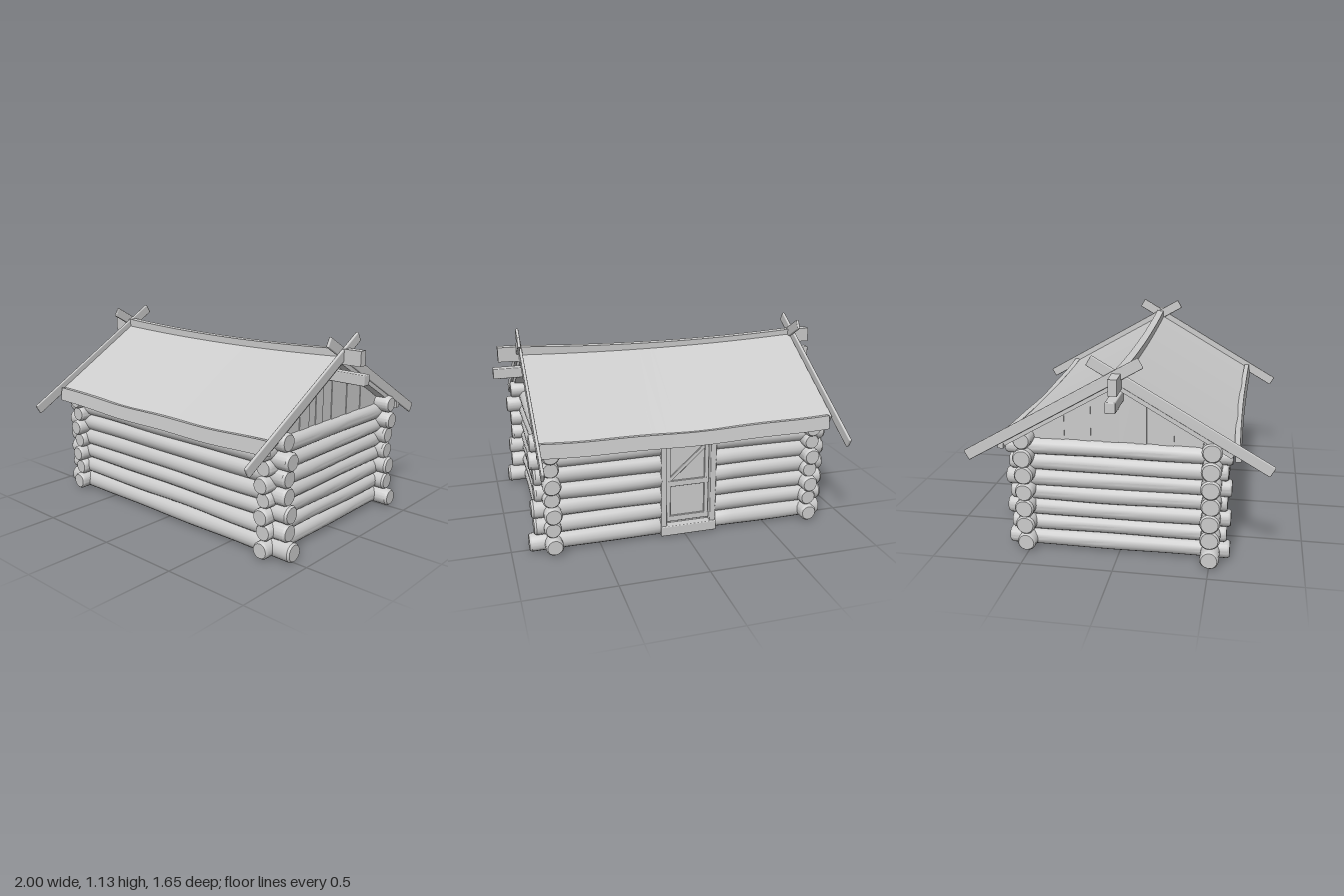
import * as THREE from 'three';
import { toCreasedNormals } from 'three/addons/utils/BufferGeometryUtils.js';
import { RoundedBoxGeometry } from 'three/addons/geometries/RoundedBoxGeometry.js';

const material = new THREE.MeshStandardMaterial({ color: 0xcccccc });
const PITCH = Math.PI / 6;
const RIDGE_Y = 1.027;
const ROOF_X = -0.015;

let seed = 7;
const random = () => {
  seed = (seed * 16807) % 2147483647;
  return seed / 2147483647;
};

function add(parent, name, geometry) {
  const mesh = new THREE.Mesh(geometry, material);
  mesh.name = name;
  parent.add(mesh);
  return mesh;
}

// Block with softened edges
function block(parent, name, w, h, d, x, y, z, bevel = 0.006) {
  const mesh = add(parent, name, new RoundedBoxGeometry(w, h, d, 1, bevel));
  mesh.position.set(x, y, z);
  return mesh;
}

// Move each vertex by a rule
function bend(geometry, rule) {
  const p = geometry.attributes.position;
  const v = new THREE.Vector3();
  for (let i = 0; i < p.count; i++) {
    v.fromBufferAttribute(p, i);
    rule(v);
    p.setXYZ(i, v.x, v.y, v.z);
  }
  return toCreasedNormals(geometry, 0.6);
}

// Slightly wavy log with bevelled ends, from a to b along the x or z axis
function log(parent, name, axis, a, b, y, across, r) {
  const half = (b - a) / 2;
  const steps = Math.max(4, Math.round(half * 16));
  const points = [new THREE.Vector2(0, -half), new THREE.Vector2(r * 0.84, -half)];
  for (let i = 0; i <= steps; i++) {
    points.push(new THREE.Vector2(r, THREE.MathUtils.lerp(-half + 0.012, half - 0.012, i / steps)));
  }
  points.push(new THREE.Vector2(r * 0.84, half), new THREE.Vector2(0, half));
  const [p, q, s] = [random() * 6, random() * 6, random() * 6];
  const geometry = bend(new THREE.LatheGeometry(points, 18), (v) => {
    const angle = Math.atan2(v.z, v.x);
    const k = 1 + 0.025 * Math.sin(v.y * 9 + p) + 0.02 * Math.sin(angle * 3 + q);
    v.x = v.x * k + 0.002 * Math.sin(v.y * 6 + s);
    v.z = v.z * k + 0.002 * Math.sin(v.y * 5 + q);
  });
  if (axis === 'x') geometry.rotateZ(-Math.PI / 2);
  else geometry.rotateX(Math.PI / 2);
  const mid = (a + b) / 2;
  const mesh = add(parent, name, geometry);
  mesh.position.set(axis === 'x' ? mid : across, y, axis === 'x' ? across : mid);
}

function buildWalls(house) {
  const walls = new THREE.Group();
  walls.name = 'logWalls';
  house.add(walls);
  const longY = [0.058, 0.16, 0.26, 0.355, 0.453, 0.55, 0.65];
  const sideY = [0.06, 0.155, 0.245, 0.335, 0.42, 0.51, 0.6];
  const left = [-0.91, -0.89, -0.9, -0.89, -0.9, -0.89, -0.88];
  const right = [0.92, 0.89, 0.9, 0.88, 0.88, 0.9, 0.87];
  longY.forEach((y, i) => {
    log(walls, 'frontLog', 'x', left[i], right[i], y, 0.5, 0.053);
    // Door opening interrupts the back wall below its top log
    if (i === 6) {
      log(walls, 'backLog', 'x', -0.86, 0.87, y, -0.512, 0.05);
    } else {
      log(walls, 'backLog', 'x', -0.865, -0.17, y, -0.512, 0.053);
      log(walls, 'backLog', 'x', 0.13, right[i] - 0.02, y, -0.512, 0.053);
    }
  });
  sideY.forEach((y, i) => {
    const reach = i % 2 ? 0.59 : 0.61;
    for (const x of [-0.765, 0.77]) {
      log(walls, 'sideLog', 'z', -reach - 0.012, reach - 0.005, y, x, 0.049);
    }
  });
}

function buildDoor(house) {
  const door = new THREE.Group();
  door.name = 'door';
  door.position.x = -0.02;
  house.add(door);
  for (const s of [-1, 1]) block(door, 'doorPost', 0.035, 0.59, 0.1, s * 0.148, 0.325, -0.515);
  block(door, 'doorSill', 0.335, 0.06, 0.115, 0, 0.04, -0.517);
  block(door, 'doorHeader', 0.3, 0.035, 0.1, 0, 0.605, -0.515);
  block(door, 'doorPanel', 0.27, 0.53, 0.02, 0, 0.33, -0.515, 0.003);
  for (const y of [0.1, 0.32, 0.56]) block(door, 'doorRail', 0.26, 0.035, 0.014, 0, y, -0.531, 0.003);
  for (const s of [-1, 1]) block(door, 'doorStile', 0.025, 0.5, 0.014, s * 0.115, 0.33, -0.53, 0.003);
  // Diagonal brace in the upper half
  const brace = block(door, 'doorBrace', 0.3, 0.022, 0.012, 0, 0.44, -0.529, 0.003);
  brace.rotation.z = -Math.atan2(0.2, 0.22);
}

// Vertical gable planks with sloping tops, alternating in depth
function buildGables(house) {
  const edges = [-0.56, -0.43, -0.295, -0.21, -0.15, -0.083, 0, 0.083, 0.15, 0.21, 0.295, 0.43, 0.56];
  const bottom = 0.56;
  const topAt = (z) => 0.985 - Math.abs(z) * Math.tan(PITCH);
  for (const x of [-0.765, 0.765]) {
    const gable = new THREE.Group();
    gable.name = 'gable';
    house.add(gable);
    for (let i = 0; i < edges.length - 1; i++) {
      const [a, b] = [edges[i], edges[i + 1]];
      const depth = 0.028 + (i % 2) * 0.008;
      const shape = new THREE.Shape();
      shape.moveTo(-a, bottom);
      shape.lineTo(-a, topAt(a));
      shape.lineTo(-b, topAt(b));
      shape.lineTo(-b, bottom);
      const geometry = new THREE.ExtrudeGeometry(shape, { depth, bevelEnabled: false });
      geometry.translate(0, 0, -depth / 2);
      geometry.rotateY(Math.PI / 2);
      add(gable, 'gablePlank', geometry).position.x = x;
    }
  }
}

function buildRoof(house) {
  const roof = new THREE.Group();
  roof.name = 'roof';
  house.add(roof);
  const sag = (v, amount = 0.022) => {
    v.y -= amount * (1 - Math.min(1, (v.x / 0.86) ** 2));
  };

  for (const s of [1, -1]) {
    // Sagging slab, its top running down from the ridge
    const slab = new THREE.BoxGeometry(1.71, 0.048, 0.72, 24, 1, 1);
    slab.translate(0, -0.024, s * 0.36);
    slab.rotateX(s * PITCH);
    slab.translate(ROOF_X, RIDGE_Y, 0);
    add(roof, s > 0 ? 'frontRoofSlab' : 'backRoofSlab', bend(slab, (v) => sag(v)));

    // Upright eave strip along the lower edge
    const eave = new THREE.BoxGeometry(1.69, 0.08, 0.03, 24, 1, 1);
    eave.rotateX(-s * 0.12);
    eave.translate(0, 0.642, s * 0.625);
    add(roof, 'eaveStrip', bend(eave, (v) => {
      sag(v);
      v.y += 0.003 * Math.sin(v.x * 9 + s);
      v.z += s * 0.012 * ((v.x / 0.86) ** 2 - 0.6);
    }));

    // Crossed bargeboards, one lapped outside the other
    for (const x of s > 0 ? [-0.868, 0.853] : [-0.884, 0.838]) {
      const board = block(roof, 'bargeboard', 0.018, 0.06, 1.09, x, 0.838, s * 0.338);
      board.rotation.x = s * PITCH;
    }
  }

  // Sagging ridge cap
  const cap = new THREE.BoxGeometry(1.97, 0.085, 0.046, 28, 1, 1);
  cap.translate(-0.018, 1.014, 0);
  add(roof, 'ridgeCap', bend(cap, (v) => {
    sag(v, 0.028);
    v.y += 0.004 * v.x;
    v.z += 0.004 - 0.01 * v.x;
  }));
  block(roof, 'ridgeBeam', 2, 0.06, 0.055, 0, 0.905, 0);
}

export function createModel() {
  seed = 7;
  const house = new THREE.Group();
  house.name = 'logCabin';
  buildWalls(house);
  buildDoor(house);
  buildGables(house);
  buildRoof(house);
  return house;
}
